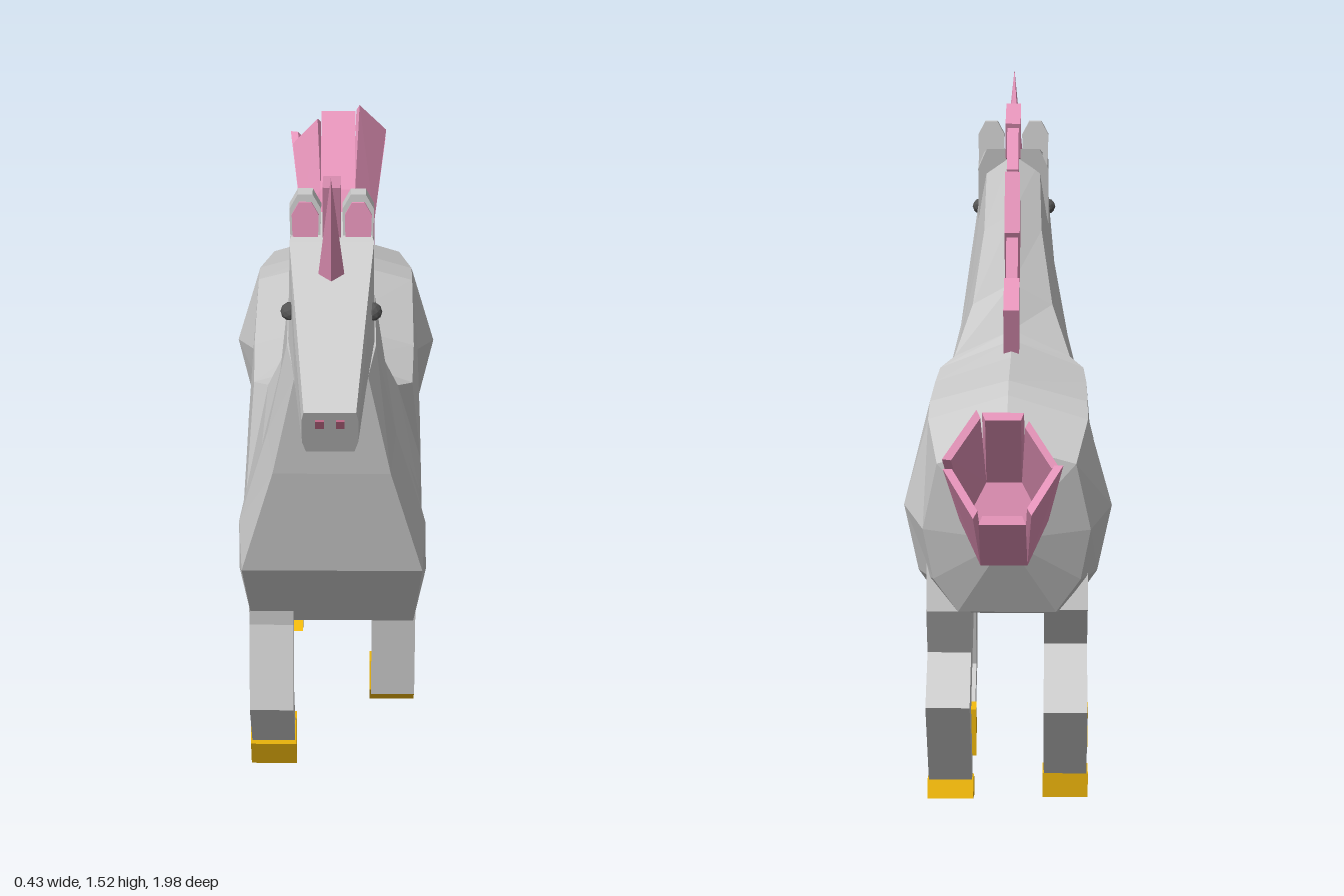
import * as THREE from 'three';
import { ConvexGeometry } from 'three/addons/geometries/ConvexGeometry.js';

const material = (color) => new THREE.MeshStandardMaterial({ color, flatShading: true, side: THREE.DoubleSide });
const GREY = material(0xcccccc);
const PINK = material(0xe795bb);
const GOLD = material(0xf2b90c);
const DARK = material(0x555555);
const NOSTRIL = material(0xb5637f);

function mesh(name, geometry, mat) {
  const m = new THREE.Mesh(geometry, mat);
  m.name = name;
  return m;
}

// Symmetric ring between a top and a bottom point [z, y]; half widths at the given fractions.
function makeRing([zT, yT, zB, yB, ...widths], fractions) {
  const half = widths.map((w, i) => new THREE.Vector3(
    w, yT + (yB - yT) * fractions[i], zT + (zB - zT) * fractions[i]));
  const other = half.filter((p) => p.x > 0).reverse().map((p) => new THREE.Vector3(-p.x, p.y, p.z));
  return [...half, ...other];
}

// Skin over rings running towards +z, closed at both ends.
function loft(rings, startPush = 0, endPush = 0) {
  const pos = [];
  const tri = (...ps) => ps.forEach((p) => pos.push(p.x, p.y, p.z));
  const n = rings[0].length;
  for (let i = 0; i < rings.length - 1; i++) {
    for (let j = 0; j < n; j++) {
      const k = (j + 1) % n, a = rings[i], b = rings[i + 1];
      tri(a[j], b[j], a[k]);
      tri(a[k], b[j], b[k]);
    }
  }
  const cap = (ring, push, flip) => {
    const c = new THREE.Vector3();
    ring.forEach((p) => c.addScaledVector(p, 1 / n));
    c.z += push;
    ring.forEach((p, j) => {
      const q = ring[(j + 1) % n];
      if (flip) tri(c, q, p); else tri(c, p, q);
    });
  };
  cap(rings[0], startPush, false);
  cap(rings[rings.length - 1], endPush, true);
  const g = new THREE.BufferGeometry();
  g.setAttribute('position', new THREE.Float32BufferAttribute(pos, 3));
  g.computeVertexNormals();
  return g;
}

// Slab with a side outline of [z, y] points, centred on the given x.
function sideSlab(points, width, x = 0) {
  const shape = new THREE.Shape(points.map(([z, y]) => new THREE.Vector2(z, y)));
  const g = new THREE.ExtrudeGeometry(shape, { depth: width, bevelEnabled: false });
  return g.translate(0, 0, -width / 2).rotateY(-Math.PI / 2).translate(x, 0, 0);
}

export function createModel() {
  const model = new THREE.Group();
  model.name = 'unicorn';

  // Torso and neck: rump, haunch, belly, shoulder, chest, then up to the poll
  const bodyF = [0, 0.11, 0.5, 0.8, 1];
  const body = [
    [-0.44, 0.86, -0.36, 0.50, 0, 0.14, 0.17, 0.15, 0.10],
    [-0.22, 0.925, -0.24, 0.47, 0, 0.165, 0.215, 0.185, 0.12],
    [-0.12, 0.94, -0.09, 0.53, 0, 0.165, 0.178, 0.15, 0.08],
    [0.20, 0.94, 0.12, 0.46, 0, 0.165, 0.18, 0.165, 0.10],
    [0.39, 0.95, 0.22, 0.41, 0, 0.16, 0.18, 0.185, 0.13],
    [0.41, 0.97, 0.50, 0.41, 0, 0.13, 0.175, 0.19, 0.165],
    [0.46, 1.07, 0.63, 0.60, 0, 0.09, 0.14, 0.185, 0.18],
    [0.53, 1.22, 0.69, 0.85, 0, 0.065, 0.10, 0.125, 0.115],
    [0.60, 1.36, 0.73, 1.08, 0, 0.06, 0.082, 0.085, 0.07],
  ].map((r) => makeRing(r, bodyF));
  model.add(mesh('body', loft(body, -0.05), GREY));

  // Head
  const head = [
    [0.59, 1.36, 0.64, 1.13, 0.06, 0.08, 0.08, 0.06],
    [0.66, 1.33, 0.73, 1.09, 0.08, 0.08, 0.082, 0.065],
    [0.82, 1.245, 0.85, 1.065, 0.065, 0.068, 0.066, 0.055],
    [1.0, 1.14, 0.95, 1.035, 0.048, 0.052, 0.052, 0.045],
  ].map((r) => makeRing(r, [0, 0.2, 0.75, 1]));
  model.add(mesh('head', loft(head), GREY));

  // Eyes, nostrils and ears
  const earShape = (s) => new THREE.Shape([[-0.028, 0], [0.028, 0], [0.03, 0.07], [0.014, 0.1], [-0.014, 0.1], [-0.03, 0.07]]
    .map(([x, y]) => new THREE.Vector2(x * s, y * s)));
  for (const s of [1, -1]) {
    const side = s > 0 ? 'left' : 'right';
    const eye = mesh(side + 'Eye', new THREE.IcosahedronGeometry(0.018, 1), DARK);
    eye.position.set(s * 0.078, 1.215, 0.725);
    const nostril = mesh(side + 'Nostril', new THREE.BoxGeometry(0.016, 0.022, 0.012), NOSTRIL);
    nostril.position.set(s * 0.019, 1.112, 0.985);
    nostril.rotation.x = 0.45;
    const ear = new THREE.Group();
    ear.name = side + 'Ear';
    ear.add(mesh('earShell', new THREE.ExtrudeGeometry(earShape(1), { depth: 0.03, bevelEnabled: false }), GREY));
    const inner = mesh('innerEar', new THREE.ExtrudeGeometry(earShape(0.85), { depth: 0.004, bevelEnabled: false }), PINK);
    inner.position.z = 0.03;
    ear.add(inner);
    ear.position.set(s * 0.05, 1.32, 0.615);
    model.add(eye, nostril, ear);
  }

  // Horn
  const horn = mesh('horn', new THREE.ConeGeometry(0.027, 0.26, 5), PINK);
  horn.position.set(0, 1.405, 0.765);
  horn.rotation.x = 0.39;
  model.add(horn);

  // Mane locks along the crest
  const mane = new THREE.Group();
  mane.name = 'mane';
  [
    [[0.695, 1.455], [0.555, 1.42], [0.585, 1.34], [0.645, 1.32]],
    [[0.555, 1.41], [0.47, 1.325], [0.53, 1.19], [0.61, 1.36]],
    [[0.465, 1.32], [0.40, 1.19], [0.48, 1.05], [0.54, 1.17]],
    [[0.40, 1.18], [0.353, 1.095], [0.415, 0.95], [0.49, 1.04]],
    [[0.347, 1.095], [0.22, 1.04], [0.27, 0.93], [0.42, 0.93]],
  ].forEach((p, i) => mane.add(mesh('maneLock' + (i + 1), sideSlab(p, i % 2 ? 0.026 : 0.034), PINK)));
  model.add(mane);

  // Tail: closed root and a flared end of separate locks
  const tail = new THREE.Group();
  tail.name = 'tail';
  const tailRings = [
    [-0.85, 1.0, -0.97, 0.81, 0.045, 0.115, 0.05],
    [-0.715, 0.85, -0.745, 0.68, 0.04, 0.085, 0.045],
    [-0.54, 0.855, -0.51, 0.68, 0.04, 0.085, 0.045],
    [-0.41, 0.86, -0.43, 0.77, 0.012, 0.02, 0.012],
  ].map((r) => makeRing(r, [0, 0.5, 1]));
  tail.add(mesh('tailRoot', loft(tailRings.slice(1)), PINK));
  const centre = (ring) => ring.reduce((c, p) => c.addScaledVector(p, 1 / ring.length), new THREE.Vector3());
  const [tip, base] = tailRings;
  const tipC = centre(tip), baseC = centre(base);
  const lengths = [1.06, 1.0, 0.94, 1.08, 0.88, 0.96];
  base.forEach((a, j) => {
    const k = (j + 1) % base.length, b = base[k];
    const stretch = (p, q) => q.clone().sub(p).multiplyScalar(lengths[j]).add(p);
    const c = stretch(a, tip[j]).lerp(tip[k], 0.06);
    const d = stretch(b, tip[k]).lerp(tip[j], 0.06);
    const inside = [a.clone().lerp(baseC, 0.15), b.clone().lerp(baseC, 0.15), c.clone().lerp(tipC, 0.15), d.clone().lerp(tipC, 0.15)];
    tail.add(mesh('tailLock' + (j + 1), new ConvexGeometry([a, b, c, d, ...inside]), PINK));
  });
  model.add(tail);

  // Legs in mid gallop, each with its hoof
  const legs = [
    ['leftFront', 0.125,
      [[0.47, 0.5], [0.46, 0.41], [0.43, 0.19], [0.25, 0.09], [0.24, 0.15], [0.35, 0.215], [0.295, 0.43], [0.3, 0.5]],
      [[0.25, 0.09], [0.24, 0.155], [0.19, 0.15], [0.205, 0.04]]],
    ['rightFront', -0.125,
      [[0.53, 0.5], [0.52, 0.41], [0.56, 0.23], [0.44, 0.08], [0.41, 0.115], [0.5, 0.245], [0.465, 0.41], [0.4, 0.5]],
      [[0.445, 0.075], [0.43, 0.118], [0.37, 0.11], [0.41, 0.005]]],
    ['leftHind', 0.12,
      [[-0.12, 0.6], [-0.10, 0.52], [-0.11, 0.42], [-0.31, 0.28], [-0.19, 0.11], [-0.26, 0.115], [-0.43, 0.315], [-0.3, 0.4], [-0.36, 0.5], [-0.34, 0.6]],
      [[-0.19, 0.11], [-0.15, 0.055], [-0.275, 0.08], [-0.262, 0.118]]],
    ['rightHind', -0.12,
      [[-0.1, 0.58], [-0.07, 0.51], [-0.05, 0.39], [-0.26, 0.26], [-0.11, 0.11], [-0.19, 0.11], [-0.37, 0.29], [-0.22, 0.4], [-0.34, 0.5], [-0.32, 0.58]],
      [[-0.11, 0.112], [-0.05, 0.058], [-0.185, 0.058], [-0.192, 0.112]]],
  ];
  for (const [name, x, outline, hoof] of legs) {
    const leg = new THREE.Group();
    leg.name = name + 'Leg';
    leg.add(mesh('limb', sideSlab(outline, 0.09, x), GREY));
    leg.add(mesh('hoof', sideSlab(hoof, 0.096, x), GOLD));
    model.add(leg);
  }

  return model;
}
